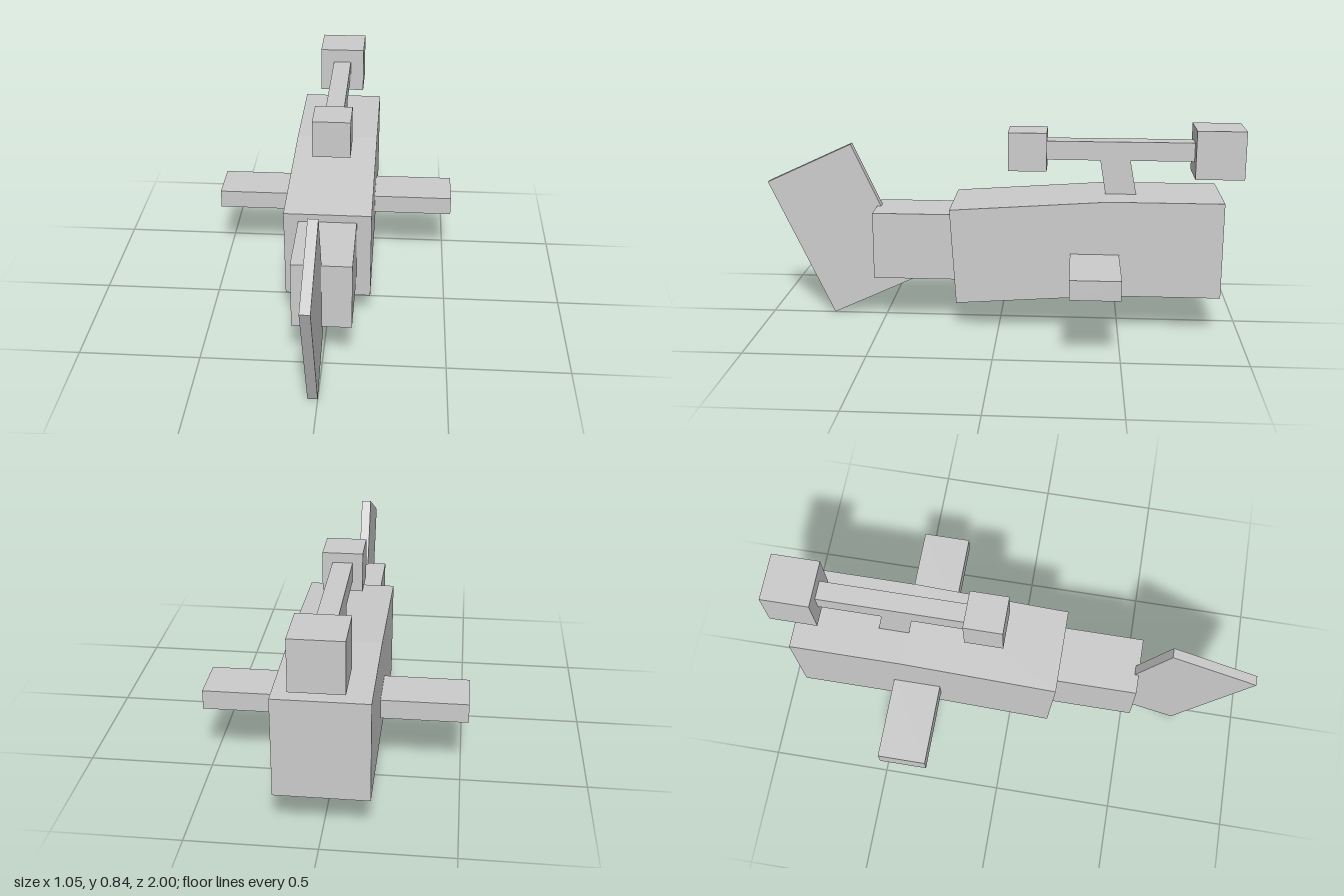
import * as THREE from 'three';

const material = new THREE.MeshStandardMaterial({ color: 0xcccccc, flatShading: true });

export function createModel() {
  const group = new THREE.Group();

  const add = (name, geometry) => {
    const mesh = new THREE.Mesh(geometry, material);
    mesh.name = name;
    group.add(mesh);
    return mesh;
  };

  // Box given by its size and centre
  const box = (name, [w, h, d], [x, y, z]) => {
    const mesh = add(name, new THREE.BoxGeometry(w, h, d));
    mesh.position.set(x, y, z);
    return mesh;
  };

  // Side profile of [z, y] points, extruded across x and centred
  const slab = (name, points, width) => {
    const shape = new THREE.Shape(points.map(([z, y]) => new THREE.Vector2(z, y)));
    const geometry = new THREE.ExtrudeGeometry(shape, { depth: width, bevelEnabled: false });
    geometry.rotateY(-Math.PI / 2).translate(width / 2, 0, 0);
    return add(name, geometry);
  };

  // Main body: level at the rear, drooping slightly towards the front
  slab('body', [
    [-0.915, 0.167], [-0.46, 0.167], [0.175, 0.122],
    [0.2, 0.522], [-0.445, 0.567], [-0.915, 0.567],
  ], 0.36);

  // Nose block and the tilted blade set just off the centre line
  box('nose', [0.24, 0.282, 0.38], [0, 0.346, 0.34]);
  const blade = box('blade', [0.04, 0.642, 0.4], [-0.02, 0.379, 0.6835]);
  blade.rotation.x = 0.434;

  // Side handles
  for (const [name, side] of [['leftHandle', 1], ['rightHandle', -1]]) {
    box(name, [0.363, 0.08, 0.2], [side * 0.3415, 0.305, -0.396]);
  }

  // Sight: leaning mount, tube and the two end blocks
  slab('sightMount', [
    [-0.569, 0.55], [-0.441, 0.55], [-0.413, 0.72], [-0.537, 0.72],
  ], 0.08);
  box('sightTube', [0.08, 0.078, 0.625], [0, 0.748, -0.4975]);
  box('sightFront', [0.16, 0.16, 0.16], [0, 0.747, -0.114]);
  box('sightRear', [0.2, 0.2, 0.2], [0, 0.747, -0.9]);

  return group;
}
